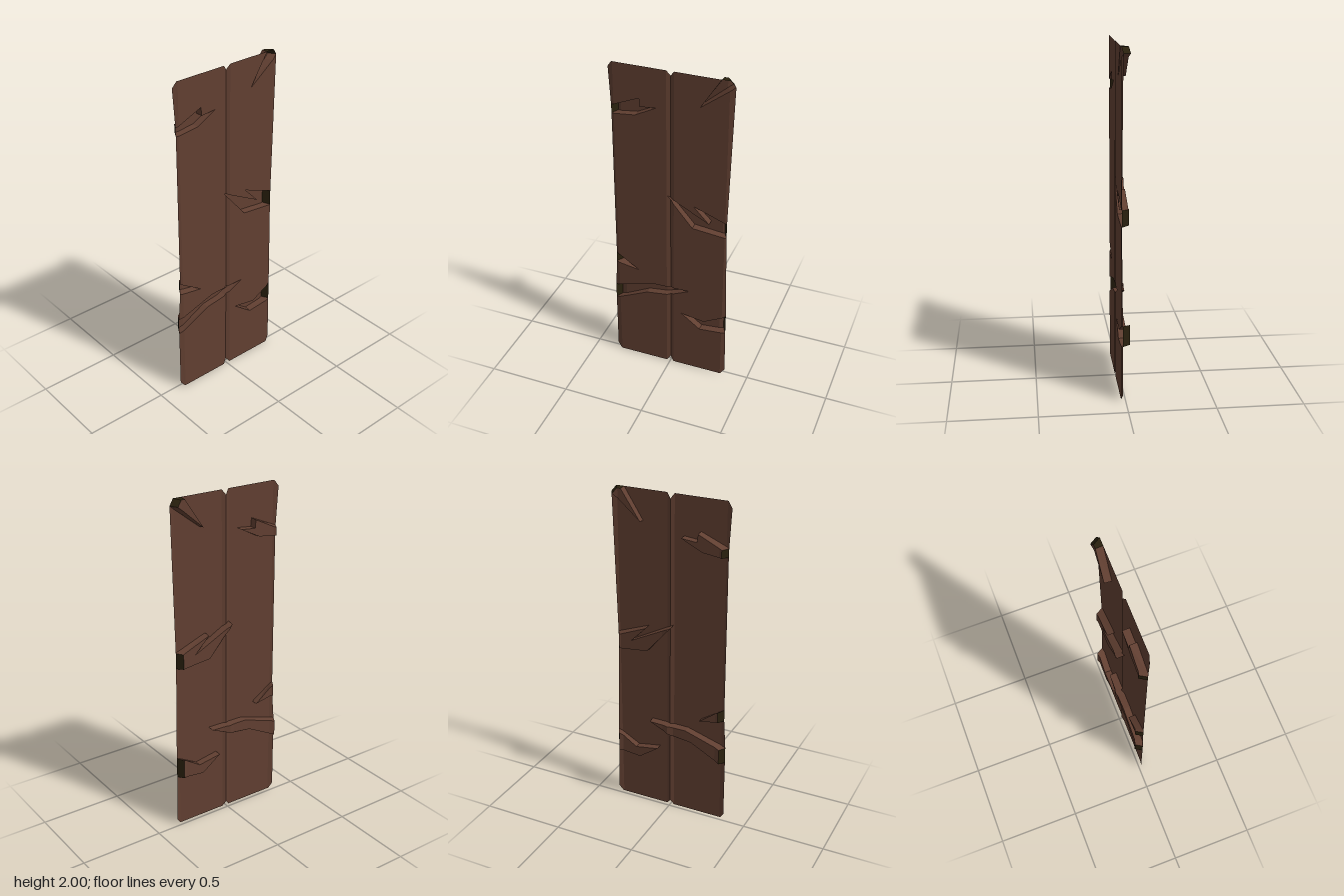
import * as THREE from 'three';

const CREASES = [-0.33, -0.022, 0, 0.022, 0.33];
const FLOOR_CREASES = [-0.305, -0.035, 0, 0.035, 0.305];
const DEPTH = 0.042, DROP = 0.009;

// Front profile: flat boards that dip at the outer edges and at the centre seam
function profile(x, c) {
  const a = Math.abs(x);
  if (a < c[3]) return 0.024 - DROP * (1 - a / c[3]);
  if (a > c[4]) return 0.024 - DROP * Math.min(1, (a - c[4]) / 0.025);
  return 0.024;
}

// Keep the part of a polygon on one side of the line x = limit
function clip(poly, limit, side) {
  const out = [];
  poly.forEach((p, i) => {
    const q = poly[(i + 1) % poly.length];
    const dp = (p.x - limit) * side, dq = (q.x - limit) * side;
    if (dp >= 0) out.push(p);
    if (dp * dq < 0) out.push(p.clone().lerp(q, dp / (dp - dq)));
  });
  return out;
}

// Add points to an open path wherever it crosses a crease
function splitPath(path) {
  const out = [path[0]];
  for (let i = 1; i < path.length; i++) {
    const a = path[i - 1], b = path[i];
    CREASES.map(c => (c - a.x) / (b.x - a.x))
      .filter(t => t > 0.001 && t < 0.999)
      .sort((s, t) => s - t)
      .forEach(t => out.push(a.clone().lerp(b, t)));
    out.push(b);
  }
  return out;
}

function flatGeometry(positions) {
  const g = new THREE.BufferGeometry();
  g.setAttribute('position', new THREE.Float32BufferAttribute(positions, 3));
  g.computeVertexNormals();
  return g;
}

// Outline filled with triangles and folded along the creases
function sheet(outline, creases, depth) {
  const pos = [];
  const limits = [-1, ...creases, 1];
  for (const tri of THREE.ShapeUtils.triangulateShape(outline, [])) {
    let t = tri.map(i => outline[i]);
    if (THREE.ShapeUtils.area(t) < 0) t = t.reverse();
    for (let b = 0; b < limits.length - 1; b++) {
      const piece = clip(clip(t, limits[b], 1), limits[b + 1], -1);
      for (let k = 1; k < piece.length - 1; k++)
        for (const p of [piece[0], piece[k], piece[k + 1]])
          pos.push(p.x, p.y, profile(p.x, creases) - depth);
    }
  }
  return flatGeometry(pos);
}

const pts = list => list.map(([x, y]) => new THREE.Vector2(x, y));

// Cracks: path inwards from the edge and back; corner = extra point on the mouth
const CRACKS = {
  lowerLeft: { path: pts([[0.353, 0.33], [0.19, 0.315], [0.07, 0.405], [0.215, 0.38], [0.353, 0.455]]) },
  middleLeft: { path: pts([[0.34, 1.025], [0.135, 1.045], [-0.02, 1.23], [0.235, 1.095], [0.14, 1.195], [0.34, 1.12]]) },
  cornerLeft: { path: pts([[0.36, 1.965], [0.17, 1.82], [0.285, 2]]), corner: pts([[0.333, 2]]) },
  upperRight: { path: pts([[-0.347, 1.74], [-0.18, 1.81], [-0.175, 1.76], [-0.08, 1.77], [-0.205, 1.705], [-0.346, 1.69]]) },
  smallRight: { path: pts([[-0.346, 0.755], [-0.2, 0.66], [-0.347, 0.685]]) },
  lowerRight: { path: pts([[-0.36, 0.505], [-0.115, 0.58], [0.12, 0.585], [-0.01, 0.525], [-0.15, 0.505], [-0.36, 0.405]]) },
};

export function createModel() {
  const wood = new THREE.MeshStandardMaterial({ color: 0x613f31, side: THREE.DoubleSide });
  wood.name = 'brown wood';
  const dark = new THREE.MeshStandardMaterial({ color: 0x2a210e, side: THREE.DoubleSide });
  dark.name = 'dark crack end';

  const group = new THREE.Group();
  group.name = 'crackedPlanks';
  const add = (name, geometry, material, parent = group) => {
    const m = new THREE.Mesh(geometry, material);
    m.name = name;
    parent.add(m);
  };

  // Front face of both boards, with the cracks cut in from the edges
  const C = CRACKS;
  const outline = [
    ...pts([[-0.335, 0], [-0.022, 0], [0, 0.03], [0.022, 0], [0.333, 0], [0.358, 0.035]]),
    ...C.lowerLeft.path, ...C.middleLeft.path, ...C.cornerLeft.path,
    ...pts([[0.022, 2], [0, 1.97], [-0.022, 2], [-0.335, 2], [-0.36, 1.965]]),
    ...C.upperRight.path, ...C.smallRight.path, ...C.lowerRight.path,
    ...pts([[-0.36, 0.035]]),
  ];
  add('boardFace', sheet(outline, CREASES, 0), wood);

  // Recessed pockets behind each crack
  for (const [name, { path, corner = [] }] of Object.entries(CRACKS)) {
    const pocket = new THREE.Group();
    pocket.name = name + 'Crack';
    group.add(pocket);
    const cy = path.reduce((s, p) => s + p.y, 0) / path.length;
    const toFloor = p => new THREE.Vector2(
      Math.abs(p.x) > 0.3299 ? p.x - Math.sign(p.x) * 0.025 : p.x,
      cy + (p.y - cy) * 0.95);

    const walls = line => {
      const pos = [];
      for (let i = 1; i < line.length; i++) {
        const [a, b, c, d] = [line[i - 1], line[i], line[i], line[i - 1]].map((p, k) => {
          const f = k < 2 ? p : toFloor(p);
          return [f.x, f.y, k < 2 ? profile(f.x, CREASES) : profile(f.x, FLOOR_CREASES) - DEPTH];
        });
        pos.push(...a, ...b, ...c, ...a, ...c, ...d);
      }
      return flatGeometry(pos);
    };

    const inner = splitPath(path);
    const mouth = splitPath([path[path.length - 1], ...corner, path[0]]);
    add('crackWalls', walls(inner), wood, pocket);
    add('crackEnd', walls(mouth), dark, pocket);
    const floor = [...inner, ...mouth.slice(1, -1)].map(toFloor);
    add('crackFloor', sheet(floor, FLOOR_CREASES, DEPTH), wood, pocket);
  }
  return group;
}
